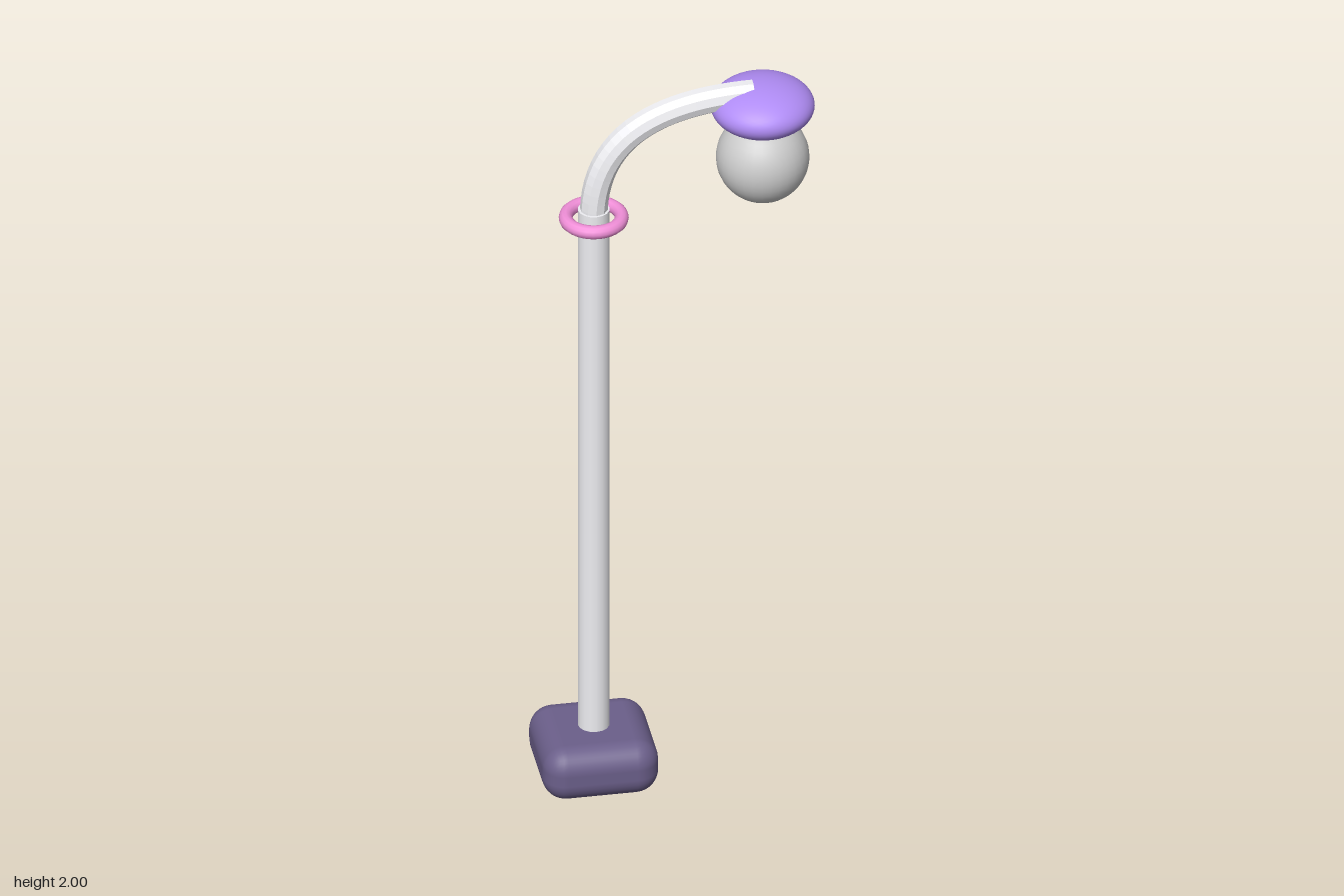
import * as THREE from 'three';
import { RoundedBoxGeometry } from 'three/addons/geometries/RoundedBoxGeometry.js';

const POST_X = -0.206;
const LAMP_X = 0.222;

export function createModel() {
  const group = new THREE.Group();

  function add(name, geometry, color, x, y, options = {}) {
    const material = new THREE.MeshStandardMaterial({ color, ...options });
    const mesh = new THREE.Mesh(geometry, material);
    mesh.name = name;
    mesh.position.set(x, y, 0);
    group.add(mesh);
    return mesh;
  }

  // Rounded foot block
  add('base', new RoundedBoxGeometry(0.294, 0.147, 0.294, 4, 0.06), 0x6b5f8a, POST_X, 0.0735);

  // Upright post, sunk into the base
  add('post', new THREE.CylinderGeometry(0.04, 0.04, 1.57, 16), 0xeeeef2, POST_X, 0.885);

  // Decorative ring floating around the top of the post
  const ring = add('ring', new THREE.TorusGeometry(0.07, 0.0175, 12, 32), 0xf08fd8, POST_X, 1.645);
  ring.rotation.x = Math.PI / 2;

  // Faceted arm curving from the post over to the lamp
  const armCurve = new THREE.QuadraticBezierCurve3(
    new THREE.Vector3(POST_X, 1.65, 0),
    new THREE.Vector3(POST_X, 1.967, 0),
    new THREE.Vector3(0.197, 1.967, 0)
  );
  add('arm', new THREE.TubeGeometry(armCurve, 24, 0.035, 10), 0xeeeef2, 0, 0,
    { flatShading: true, side: THREE.DoubleSide });

  // Flattened shade and round bulb
  const shade = add('shade', new THREE.IcosahedronGeometry(0.13, 8), 0xb08cf5, LAMP_X, 1.929);
  shade.scale.y = 0.5;
  add('bulb', new THREE.SphereGeometry(0.117, 32, 20), 0xcccccc, LAMP_X, 1.777);

  return group;
}
